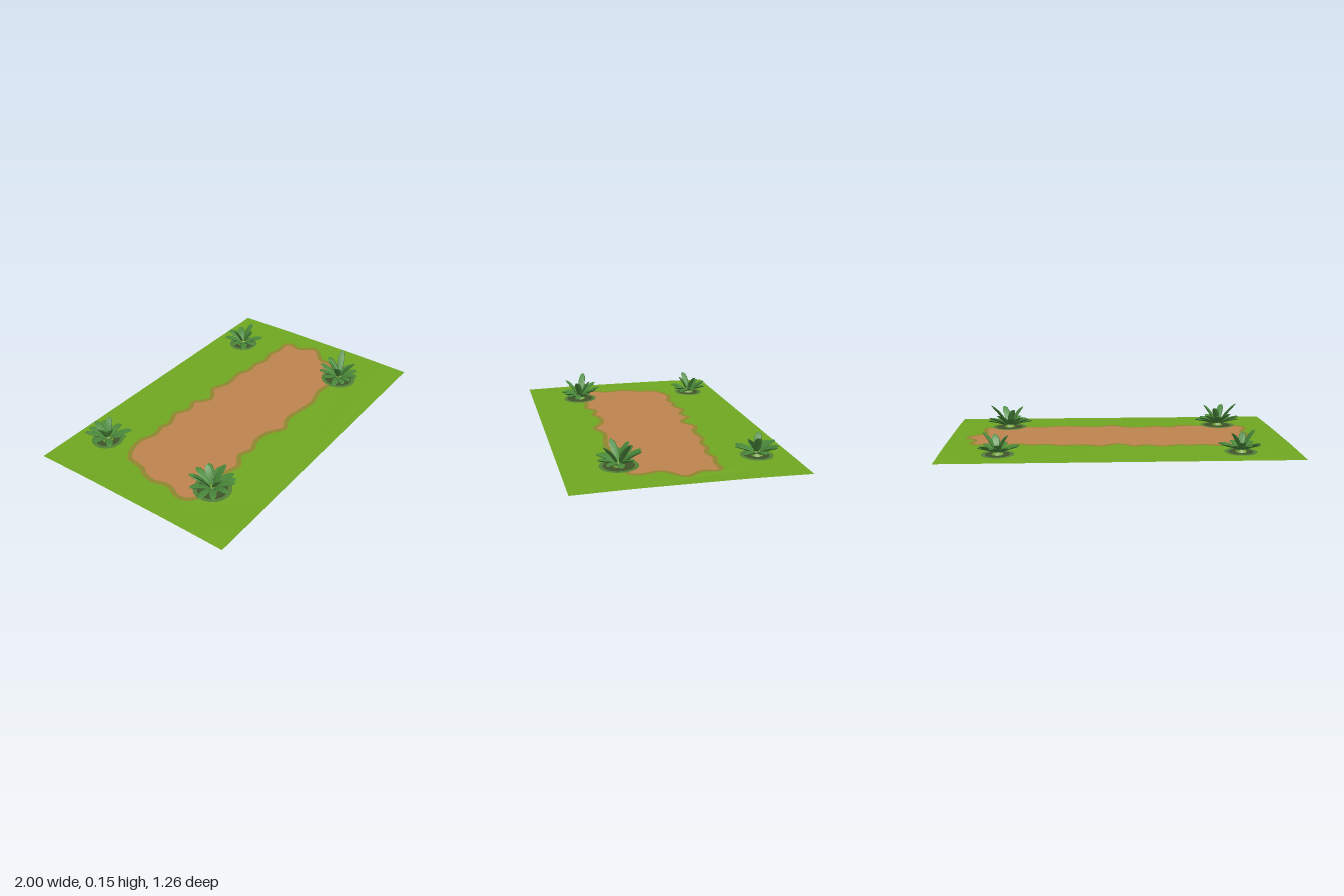
import * as THREE from 'three';

const mat = (name, color, double) => {
  const m = new THREE.MeshStandardMaterial({ color });
  m.name = name;
  if (double) m.side = THREE.DoubleSide;
  return m;
};

// Outline of the bare earth, x and z in hundredths
const OUTLINE = [
  -74, -23, -65, -28, -56, -29, -48, -26, -40, -28, -35, -26, -25, -30, -19, -27, -15, -26, -9, -29,
  0, -22, 10, -28, 20, -24, 35, -25, 42, -22, 50, -23, 58, -20, 66, -22, 74, -20, 84, -20,
  87, -15, 85, -9, 91, 0, 89, 5, 82, 11, 81, 14, 83, 23, 81, 30, 73, 32, 65, 34,
  49, 31, 43, 32, 35, 34, 25, 33, 11, 31, 1, 35, -9, 29, -19, 28, -27, 31, -35, 28,
  -42, 33, -53, 31, -72, 33, -82, 28, -84, 20, -80, 11, -82, 2, -80, -7, -77, -11, -76, -17,
];

// Leaf tips relative to the root of a plant: x, y, z
const FRONT_TIPS = [
  [0.02, 0.085, -0.125], [-0.065, 0.1, -0.11], [0.09, 0.085, -0.09], [-0.125, 0.075, -0.055],
  [-0.14, 0.045, 0.015], [0.125, 0.065, -0.035], [0.14, 0.04, 0.04], [-0.1, 0.045, 0.08],
  [-0.025, 0.055, 0.12], [0.06, 0.06, 0.11], [0.1, 0.05, 0.085],
  [-0.11, 0.155, -0.04], [0.085, 0.135, 0.03], [-0.04, 0.13, 0.09], [0.03, 0.13, -0.06],
];
const BACK_TIPS = [
  [0.015, 0.08, -0.11], [-0.03, 0.06, -0.115], [0.075, 0.06, -0.095], [-0.09, 0.07, -0.085],
  [-0.11, 0.045, -0.01], [0.115, 0.05, 0], [0.115, 0.04, 0.085], [0.04, 0.05, 0.11],
  [-0.085, 0.045, 0.1], [-0.02, 0.11, 0.06], [-0.08, 0.13, 0.02], [0.06, 0.12, -0.03],
];

// The lawn is level in the middle and falls gently to its long edges
const groundY = (z) => 0.009 - 0.006 * Math.max(0, (Math.abs(z) - 0.3) / 0.33);

function drape(geometry, offset = 0) {
  geometry.rotateX(-Math.PI / 2);
  const p = geometry.attributes.position;
  for (let i = 0; i < p.count; i++) p.setY(i, groundY(p.getZ(i)) + offset);
  geometry.computeVertexNormals();
  return geometry;
}

function mesh(name, geometry, material) {
  const m = new THREE.Mesh(geometry, material);
  m.name = name;
  return m;
}

// Slim pointed leaf from the root to a tip, folded along its midrib
function leafGeometry(tip) {
  const root = new THREE.Vector3(tip.x * 0.08, 0.012, tip.z * 0.08);
  const along = tip.clone().sub(root);
  const length = along.length();
  along.normalize();
  const side = new THREE.Vector3().crossVectors(along, new THREE.Vector3(0, 1, 0)).normalize();
  const face = new THREE.Vector3().crossVectors(side, along);
  const g = new THREE.SphereGeometry(1, 8, 8);
  const p = g.attributes.position;
  for (let i = 0; i < p.count; i++) {
    const x = p.getX(i), y = p.getY(i), z = p.getZ(i);
    const w = x * 0.021 * (1 + 0.25 * y);
    p.setXYZ(i, w, y * length / 2, z * 0.007 + Math.abs(w) * 0.25 + 0.006 * (1 - y * y));
  }
  g.applyMatrix4(new THREE.Matrix4().makeBasis(side, along, face)
    .setPosition(root.add(tip).multiplyScalar(0.5)));
  g.computeVertexNormals();
  return g;
}

export function createModel() {
  const model = new THREE.Group();
  model.name = 'gardenPlot';
  const grass = mat('grass green', 0x70a822, true);
  const edge = mat('olive edge', 0x8f8730, true);
  const earth = mat('earth brown', 0xbf844f, true);
  const halo = mat('shaded grass', 0x528038, true);
  const soil = mat('dark soil', 0x40542a, true);
  const leaf = mat('leaf green', 0x4b8a3c);
  const stem = mat('stem green', 0x70a030);

  // Wavy outline and a copy of it moved inwards
  const knots = [];
  for (let i = 0; i < OUTLINE.length; i += 2) {
    knots.push(new THREE.Vector3(OUTLINE[i] / 100, -OUTLINE[i + 1] / 100, 0));
  }
  const curve = new THREE.CatmullRomCurve3(knots, true);
  const outer = [], inner = [];
  const N = 150;
  for (let i = 0; i < N; i++) {
    const p = curve.getPoint(i / N), t = curve.getTangent(i / N);
    outer.push(new THREE.Vector2(p.x, p.y));
    inner.push(new THREE.Vector2(p.x + t.y * 0.027, p.y - t.x * 0.027));
  }

  // Lawn with a hole, olive rim and earth lying edge to edge
  const lawnPoints = [];
  const corners = [[-1, -0.63], [1, -0.63], [1, 0.63], [-1, 0.63]];
  corners.forEach(([x, y], k) => {
    const [nx, ny] = corners[(k + 1) % 4];
    for (let j = 0; j < 10; j++) {
      lawnPoints.push(new THREE.Vector2(x + (nx - x) * j / 10, y + (ny - y) * j / 10));
    }
  });
  const lawn = new THREE.Shape(lawnPoints);
  lawn.holes.push(new THREE.Path(outer));
  const rim = new THREE.Shape(outer);
  rim.holes.push(new THREE.Path(inner));
  model.add(mesh('lawn', drape(new THREE.ShapeGeometry(lawn)), grass));
  model.add(mesh('earthRim', drape(new THREE.ShapeGeometry(rim)), edge));
  model.add(mesh('earthPatch', drape(new THREE.ShapeGeometry(new THREE.Shape(inner))), earth));

  // One plant in each corner, the right side mirroring the left
  const plants = [
    { name: 'frontPlant', tips: FRONT_TIPS, x: 0.67, z: 0.32, r: 0.085 },
    { name: 'backPlant', tips: BACK_TIPS, x: 0.675, z: -0.44, r: 0.07 },
  ];
  for (const { name, tips, x, z, r } of plants) {
    for (const s of [-1, 1]) {
      const plant = new THREE.Group();
      plant.name = name + (s > 0 ? 'Left' : 'Right');
      // Soil patch, visible from above and below
      for (const d of [-1, 1]) {
        const ring = new THREE.RingGeometry(r, r + 0.022, 20).translate(s * x, -z, 0);
        const disc = new THREE.CircleGeometry(r, 20).translate(s * x, -z, 0);
        plant.add(mesh('shadedGrass', drape(ring, d * 0.002), halo));
        plant.add(mesh('soil', drape(disc, d * 0.002), soil));
      }
      const y = groundY(z);
      const base = new THREE.CylinderGeometry(0.016, 0.036, 0.03, 10);
      base.translate(s * x, y + 0.014, z);
      plant.add(mesh('stem', base, stem));
      for (const [tx, ty, tz] of tips) {
        const g = leafGeometry(new THREE.Vector3(-tx * -s * -1, ty - y, tz));
        plant.add(mesh('leaf', g.translate(s * x, y, z), leaf));
      }
      model.add(plant);
    }
  }
  return model;
}
